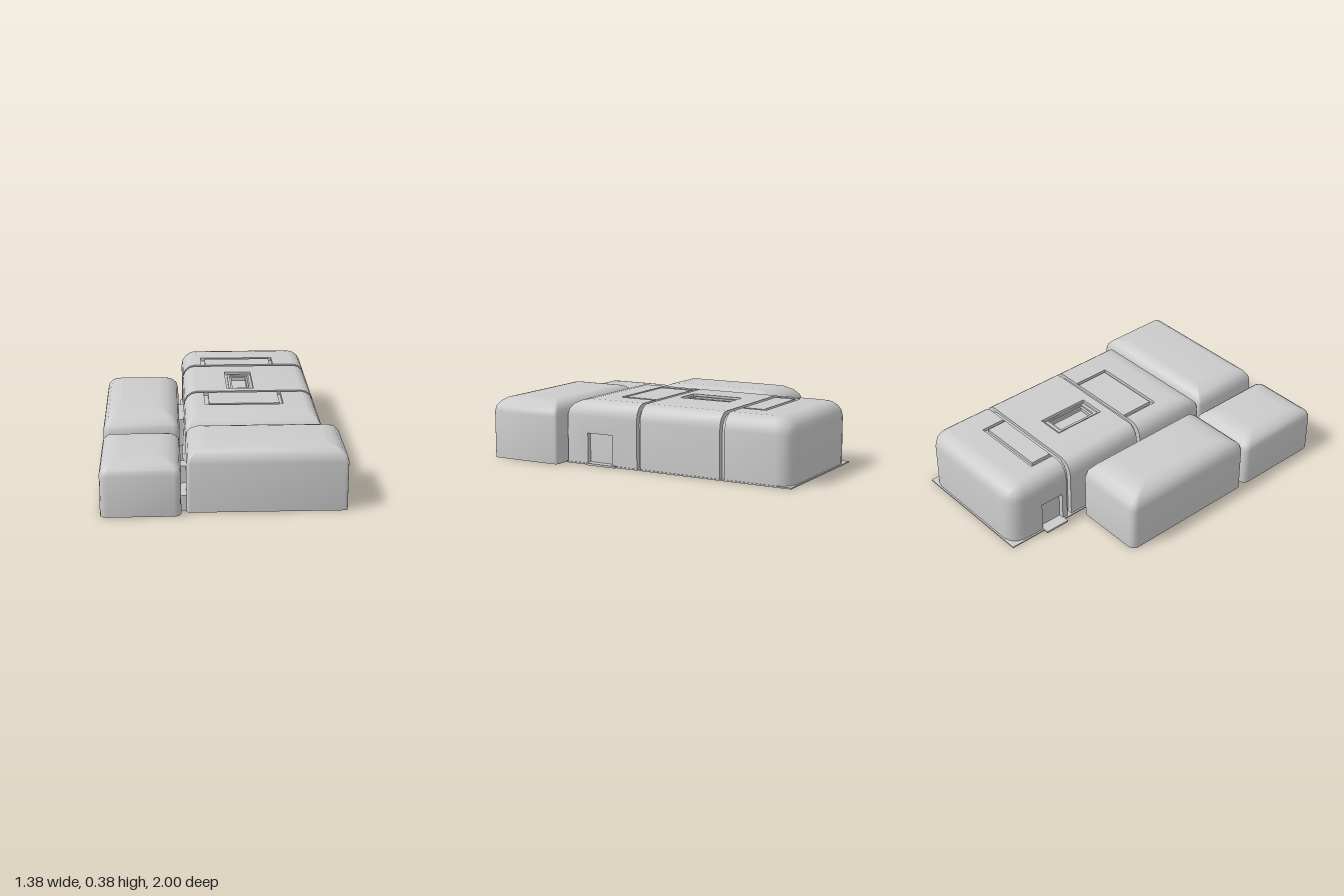
import * as THREE from 'three';
import { mergeGeometries, toCreasedNormals } from 'three/addons/utils/BufferGeometryUtils.js';

const material = new THREE.MeshStandardMaterial({ color: 0xcccccc });
const CAP = 0.02;   // thickness of the roof skin
const WALL = 0.03;  // thickness of walls that hold a doorway
const STEPS = 4;    // segments of the rounded eaves

// Extruded polygon stripped to positions so it can be merged
function extrude(points, holes, depth) {
  const shape = new THREE.Shape(points.map(([x, y]) => new THREE.Vector2(x, y)));
  for (const [x0, x1, z0, z1] of holes) {
    shape.holes.push(new THREE.Path([[x0, -z0], [x0, -z1], [x1, -z1], [x1, -z0]].map(([x, y]) => new THREE.Vector2(x, y))));
  }
  let g = new THREE.ExtrudeGeometry(shape, { depth, bevelEnabled: false });
  if (g.index) g = g.toNonIndexed();
  g.deleteAttribute('normal');
  g.deleteAttribute('uv');
  return g;
}

// Rounded rectangle ring, counter-clockwise seen from above, four points per corner
function ring([x0, x1, z0, z1], radii) {
  const corners = [[x1, z0, 1, -1], [x0, z0, -1, -1], [x0, z1, -1, 1], [x1, z1, 1, 1]];
  return corners.flatMap(([cx, cz, sx, sz], c) => [0, 1, 2, 3].map((i) => {
    const a = (c + i / 3) * Math.PI / 2, r = radii[c];
    return [cx - sx * r + r * Math.cos(a), cz - sz * r - r * Math.sin(a)];
  }));
}

// Block with upright walls, rounded eaves, flat roof (with openings) and doorways
function dome({ x, z, h, wall, inset, radii, holes = [], door }) {
  const levels = [{ y: 0, pts: ring([...x, ...z], radii) }];
  for (let k = 0; k <= STEPS; k++) {
    const a = k / STEPS * Math.PI / 2, t = 1 - Math.cos(a);
    const box = [x[0] + inset[0] * t, x[1] - inset[1] * t, z[0] + inset[2] * t, z[1] - inset[3] * t];
    levels.push({ y: wall + (h - wall) * Math.sin(a), pts: ring(box, radii.map((r) => r * (1 - 0.6 * t))) });
  }
  const pos = [], n = 16;
  const doorEdge = door ? (door.side > 0 ? 15 : 7) : -1;
  for (let k = 0; k < levels.length - 1; k++) {
    for (let i = 0; i < n; i++) {
      if (k === 0 && i === doorEdge) continue;
      const j = (i + 1) % n, lo = levels[k], hi = levels[k + 1];
      const P = (l, m) => [l.pts[m][0], l.y, l.pts[m][1]];
      const a = P(lo, i), b = P(lo, j), c = P(hi, j), d = P(hi, i);
      const same = (p, q) => Math.hypot(p[0] - q[0], p[2] - q[2]) < 1e-6;
      if (!same(a, b)) pos.push(...a, ...b, ...c);
      if (!same(c, d)) pos.push(...a, ...c, ...d);
    }
  }
  const shell = new THREE.BufferGeometry();
  shell.setAttribute('position', new THREE.Float32BufferAttribute(pos, 3));

  const flat = (pts) => pts.map(([px, pz]) => [px, -pz])
    .filter((p, i, all) => { const q = all[(i + 1) % all.length]; return Math.hypot(p[0] - q[0], p[1] - q[1]) > 1e-6; });
  const roof = extrude(flat(levels[levels.length - 1].pts), holes, CAP).rotateX(-Math.PI / 2).translate(0, h - CAP, 0);
  const floor = extrude(flat(levels[0].pts), [], 0.005).rotateX(-Math.PI / 2);
  const parts = [shell, roof, floor];

  if (door) {
    const base = levels[0].pts, right = door.side > 0;
    const zs = right ? [base[0][1], base[15][1]] : [base[7][1], base[8][1]];
    const panel = extrude([[zs[0], 0], [door.z[0], 0], [door.z[0], door.h], [door.z[1], door.h],
      [door.z[1], 0], [zs[1], 0], [zs[1], wall], [zs[0], wall]], [], WALL);
    parts.push(panel.rotateY(-Math.PI / 2).translate(right ? x[1] : x[0] + WALL, 0, 0));
  }
  return toCreasedNormals(mergeGeometries(parts), 0.6);
}

export function createModel() {
  const group = new THREE.Group();
  const add = (name, geometry) => {
    const mesh = new THREE.Mesh(geometry, material);
    mesh.name = name;
    group.add(mesh);
  };
  const box = (name, [x0, x1], [y0, y1], [z0, z1]) => add(name,
    new THREE.BoxGeometry(x1 - x0, y1 - y0, z1 - z0).translate((x0 + x1) / 2, (y0 + y1) / 2, (z0 + z1) / 2));

  // Main hall: three sections around a core that forms the floor of all grooves
  const H = 0.385, X = [-0.21, 0.595], wall = 0.29;
  box('basePlate', [-0.22, 0.6], [0, 0.008], [-1, 0.48]);
  add('hallCore', dome({ x: [-0.18, 0.565], z: [-0.96, 0.45], h: H - CAP, wall: 0.27,
    inset: [0.08, 0.08, 0.1, 0.12], radii: [0.07, 0.07, 0.02, 0.02], holes: [[0.1, 0.19, -0.37, -0.14]] }));
  add('hallFront', dome({ x: X, z: [-0.01, 0.48], h: H, wall, inset: [0.08, 0.08, 0, 0.13],
    radii: [0, 0, 0.02, 0.02], holes: [[-0.085, 0.385, -0.008, 0.225]], door: { side: 1, z: [0.16, 0.33], h: 0.19 } }));
  add('hallMiddle', dome({ x: X, z: [-0.555, -0.035], h: H, wall, inset: [0.08, 0.08, 0, 0],
    radii: [0, 0, 0, 0], holes: [[0.06, 0.225, -0.42, -0.09]] }));
  add('hallBack', dome({ x: X, z: [-0.99, -0.585], h: H, wall, inset: [0.08, 0.08, 0.1, 0],
    radii: [0.09, 0.09, 0, 0], holes: [[-0.085, 0.385, -0.74, -0.587]], door: { side: -1, z: [-0.77, -0.62], h: 0.19 } }));

  // Roof panels inside the grooves, and the stepped skylight
  box('frontRoofPanel', [-0.06, 0.365], [H - CAP, H], [-0.01, 0.205]);
  box('backRoofPanel', [-0.06, 0.365], [H - CAP, H], [-0.715, -0.585]);
  const rim = extrude([[0.075, 0.105], [0.21, 0.105], [0.21, 0.405], [0.075, 0.405]], [[0.09, 0.2, -0.385, -0.125]], 0.01);
  add('skylightRim', toCreasedNormals(rim.rotateX(-Math.PI / 2).translate(0, H - CAP, 0), 0.5));
  box('skylightFloor', [0.09, 0.2], [H - 0.06, H - 2 * CAP], [-0.38, -0.13]);

  // Door sills
  box('leftDoorSill', [0.56, 0.615], [0, 0.012], [0.13, 0.33]);
  box('rightDoorSill', [-0.25, -0.18], [0, 0.012], [-0.77, -0.615]);

  // Outbuildings
  add('frontWing', dome({ x: [-0.21, 0.69], z: [0.49, 0.95], h: 0.373, wall: 0.285,
    inset: [0.11, 0.12, 0.08, 0.085], radii: [0.02, 0.02, 0.02, 0.02] }));
  add('sideWing', dome({ x: [-0.69, -0.24], z: [-0.49, 0.4], h: 0.375, wall: 0.275,
    inset: [0.1, 0.12, 0.17, 0.17], radii: [0.04, 0.04, 0.04, 0.04] }));
  add('cornerWing', dome({ x: [-0.69, -0.24], z: [0.42, 1], h: 0.315, wall: 0.24,
    inset: [0.1, 0.12, 0.14, 0.14], radii: [0.04, 0.04, 0.04, 0.04] }));

  // Passages between the buildings
  box('sidePassage', [-0.26, -0.2], [0, 0.18], [-0.4, -0.1]);
  box('frontPassage', [-0.26, -0.19], [0, 0.18], [0.61, 0.7]);
  box('frontLowPassage', [-0.26, -0.19], [0, 0.09], [0.73, 0.92]);
  box('cornerPassage', [-0.45, -0.37], [0, 0.18], [0.38, 0.44]);
  return group;
}
